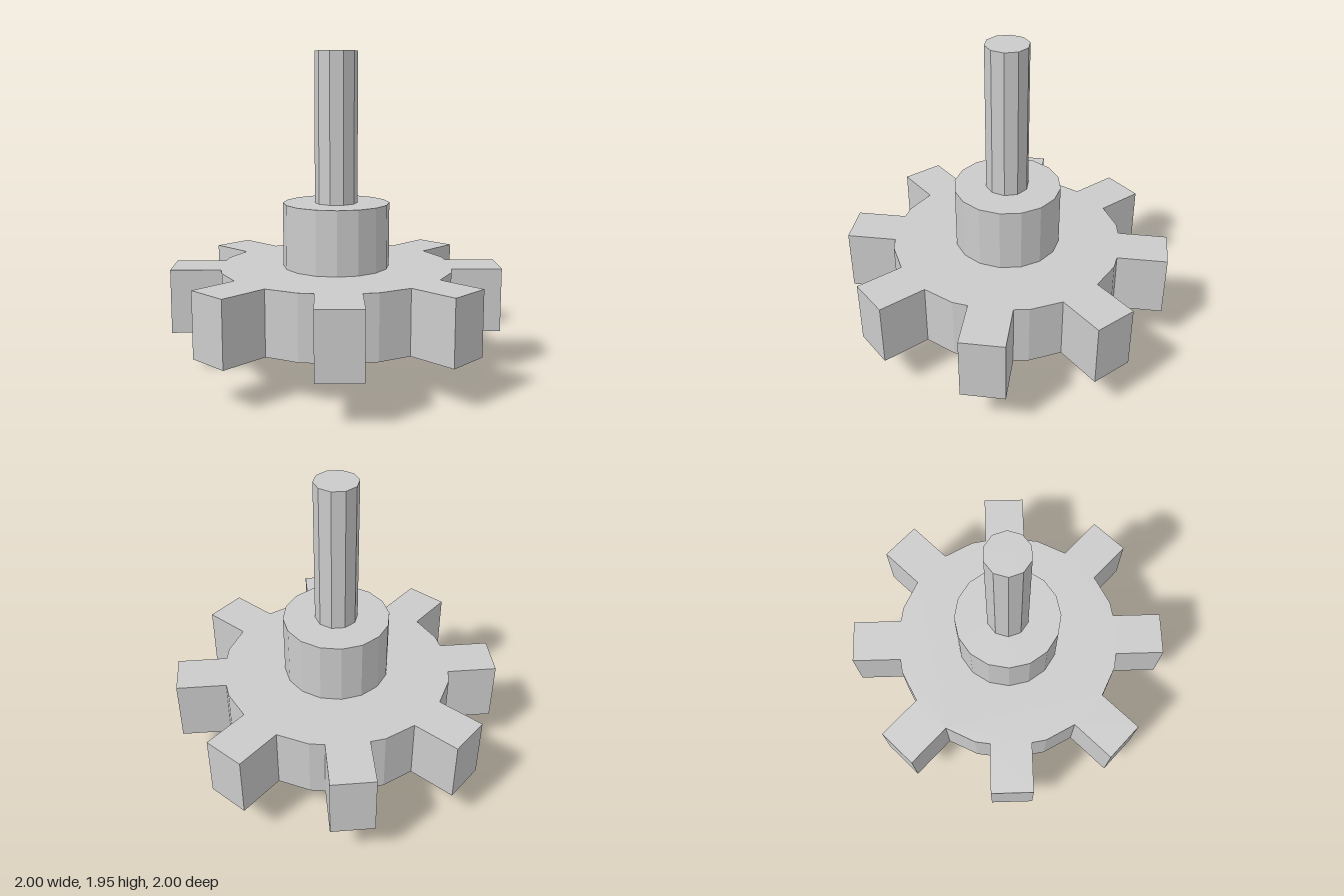
import * as THREE from 'three';

export function createModel() {
  const group = new THREE.Group();
  const material = new THREE.MeshStandardMaterial({ color: 0xcccccc, flatShading: true });

  const add = (name, geometry) => {
    const mesh = new THREE.Mesh(geometry, material);
    mesh.name = name;
    group.add(mesh);
  };

  // Upright prism between two heights, with a corner on the x axis
  const prism = (radius, sides, bottom, top) =>
    new THREE.CylinderGeometry(radius, radius, top - bottom, sides, 1, false, Math.PI / 2)
      .translate(0, (bottom + top) / 2, 0);

  // Gear outline: one quarter (axis tooth, then diagonal tooth) turned four times
  const quarter = [
    [1, -0.131], [1, 0.131], [0.694, 0.131], [0.68, 0.221], [0.588, 0.403],
    [0.8, 0.614], [0.614, 0.8], [0.403, 0.588], [0.221, 0.68], [0.131, 0.694],
  ];
  const outline = [];
  for (let i = 0; i < 4; i++) {
    for (const [x, y] of quarter) {
      outline.push(new THREE.Vector2(x, y).rotateAround(new THREE.Vector2(), i * Math.PI / 2));
    }
  }
  const gear = new THREE.ExtrudeGeometry(new THREE.Shape(outline), { depth: 0.39, bevelEnabled: false });
  add('gearWheel', gear.rotateX(-Math.PI / 2).translate(0, 0.26, 0));

  // Hub on top of the wheel, and the shaft through both
  add('hub', prism(0.325, 16, 0.65, 1.04));
  add('shaft', prism(0.13, 10, 0, 1.95));

  return group;
}
